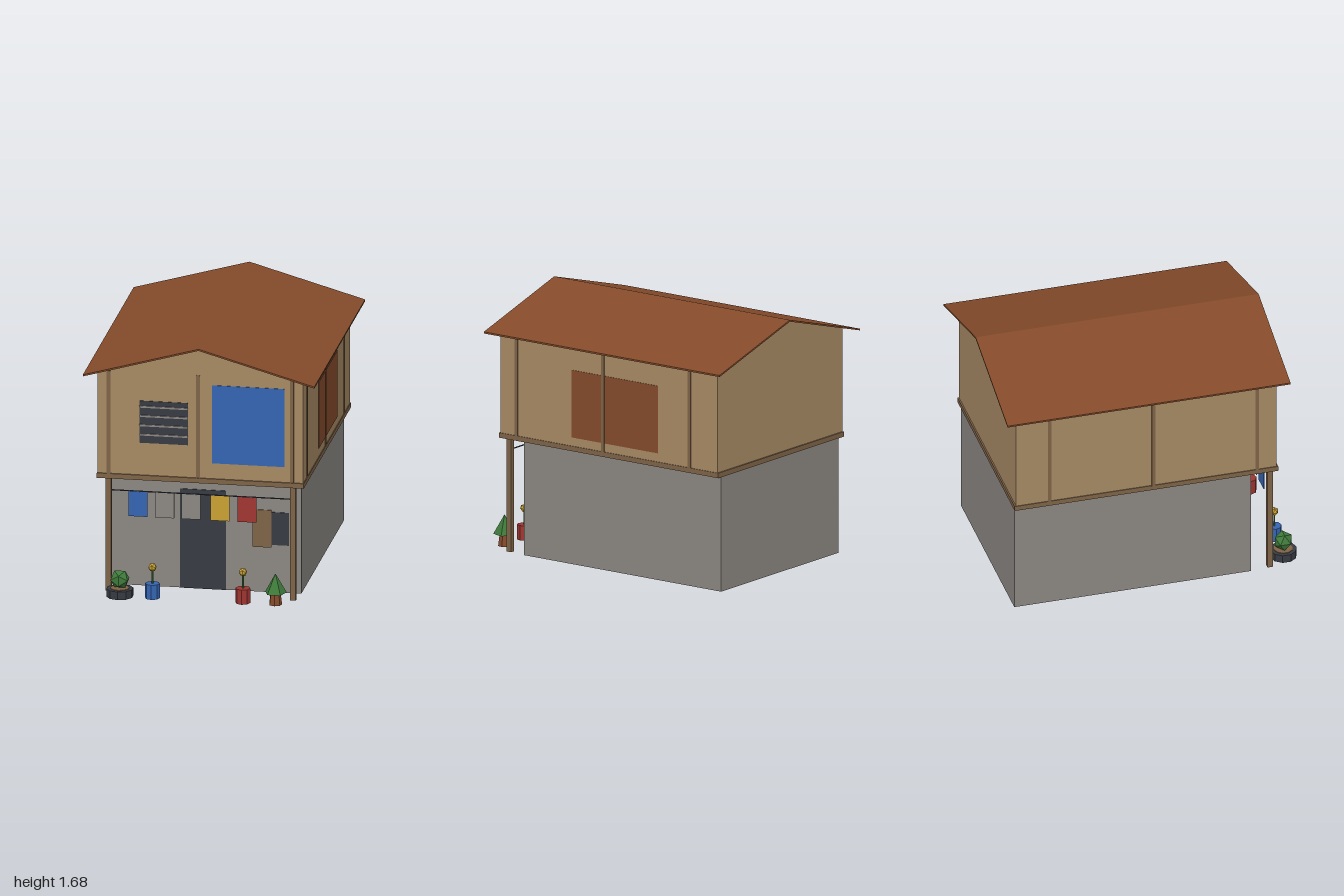
import * as THREE from 'three';

export function createModel() {
  const group = new THREE.Group();
  const mat = (name, color) => {
    const m = new THREE.MeshStandardMaterial({ color, flatShading: true });
    m.name = name;
    return m;
  };
  const plaster = mat('tan plaster', 0xa68a64);
  const concrete = mat('grey concrete', 0x8b8782);
  const wood = mat('brown wood', 0x7f6347);
  const dark = mat('dark grey', 0x373b42);
  const rust = mat('rust brown', 0x844b2b);
  const blue = mat('blue', 0x3565b3);
  const yellow = mat('yellow', 0xc9a233);
  const red = mat('red', 0xa03632);
  const green = mat('leaf green', 0x3f7a3b);

  const add = (name, geometry, material, x = 0, y = 0, z = 0) => {
    const mesh = new THREE.Mesh(geometry, material);
    mesh.name = name;
    mesh.position.set(x, y, z);
    group.add(mesh);
    return mesh;
  };
  // Box given by its minimum and maximum on each axis
  const box = (name, material, x0, x1, y0, y1, z0, z1) =>
    add(name, new THREE.BoxGeometry(x1 - x0, y1 - y0, z1 - z0), material,
      (x0 + x1) / 2, (y0 + y1) / 2, (z0 + z1) / 2);
  // Outline in x and y, extruded from z0 to z1
  const prism = (name, material, points, z0, z1) => {
    const shape = new THREE.Shape(points.map(([x, y]) => new THREE.Vector2(x, y)));
    const geometry = new THREE.ExtrudeGeometry(shape, { depth: z1 - z0, bevelEnabled: false });
    return add(name, geometry, material, 0, 0, z0);
  };

  // Main volumes
  box('groundFloor', concrete, -0.63, 0.63, 0, 0.765, -0.92, 0.66);
  box('floorSlab', wood, -0.675, 0.675, 0.763, 0.796, -0.93, 0.83);
  prism('upperFloor', plaster,
    [[-0.67, 0.79], [0.67, 0.79], [0.67, 1.486], [0, 1.675], [-0.67, 1.486]], -0.92, 0.82);
  prism('roof', rust,
    [[-0.755, 1.461], [0, 1.674], [0.755, 1.461], [0.755, 1.472], [0, 1.685], [-0.755, 1.472]], -1, 0.89);

  // Porch posts and wall studs
  for (const s of [-1, 1]) {
    box('porchPost', wood, s * 0.602 - 0.018, s * 0.602 + 0.018, 0, 0.765, 0.774, 0.81);
    for (const z of [-0.695, -0.003, 0.69]) {
      box('sideStud', wood, s * 0.669 - 0.007, s * 0.669 + 0.007, 0.79, 1.465, z - 0.012, z + 0.012);
    }
  }
  for (const x of [-0.598, -0.015, 0.597]) {
    box('frontStud', wood, x - 0.012, x + 0.012, 0.79, 1.487, 0.812, 0.828);
  }

  // Upper floor panels and louvred window
  box('blueTarp', blue, 0.075, 0.55, 0.9, 1.425, 0.818, 0.824);
  box('rustPanel', rust, 0.667, 0.673, 0.853, 1.3, -0.445, 0.25);
  box('upperWindow', dark, -0.398, -0.08, 1.013, 1.296, 0.818, 0.824);
  for (let i = 0; i < 4; i++) {
    const y = 1.07 + i * 0.0625;
    box('louvre', concrete, -0.398, -0.08, y - 0.006, y + 0.006, 0.822, 0.831);
  }

  // Ground floor openings
  box('door', dark, -0.16, 0.14, 0, 0.667, 0.658, 0.665);
  box('lowerWindow', dark, 0.33, 0.55, 0.32, 0.54, 0.658, 0.665);
  box('shutter', wood, 0.312, 0.437, 0.303, 0.554, 0.664, 0.67);

  // Clothesline
  const line = add('clothesline', new THREE.CylinderGeometry(0.004, 0.004, 1.17, 6), dark, 0, 0.676, 0.792);
  line.rotation.z = Math.PI / 2;
  [[-0.412, blue], [-0.238, concrete], [-0.067, concrete], [0.123, yellow], [0.298, red]].forEach(([x, m]) =>
    box('laundry', m, x - 0.062, x + 0.062, 0.506, 0.673, 0.789, 0.795));

  // Tyre planter with a round bush
  const pz = 0.91;
  add('tyrePlanter', new THREE.CylinderGeometry(0.088, 0.088, 0.054, 10), dark, -0.51, 0.027, pz);
  add('tyreSoil', new THREE.CylinderGeometry(0.062, 0.062, 0.006, 10), wood, -0.51, 0.055, pz);
  add('bush', new THREE.IcosahedronGeometry(0.066, 0), green, -0.51, 0.115, pz);

  // Flower pots
  for (const [x, m] of [[-0.297, blue], [0.293, red]]) {
    add('flowerPot', new THREE.CylinderGeometry(0.048, 0.048, 0.098, 8), m, x, 0.049, pz);
    add('stem', new THREE.CylinderGeometry(0.006, 0.006, 0.1, 5), green, x, 0.145, pz);
    add('flower', new THREE.IcosahedronGeometry(0.029, 0), yellow, x, 0.206, pz);
  }

  // Small conifer
  add('coniferPot', new THREE.CylinderGeometry(0.032, 0.043, 0.09, 7), rust, 0.505, 0.045, pz);
  add('conifer', new THREE.ConeGeometry(0.073, 0.13, 5), green, 0.505, 0.143, pz).rotation.y = Math.PI / 5;

  return group;
}
